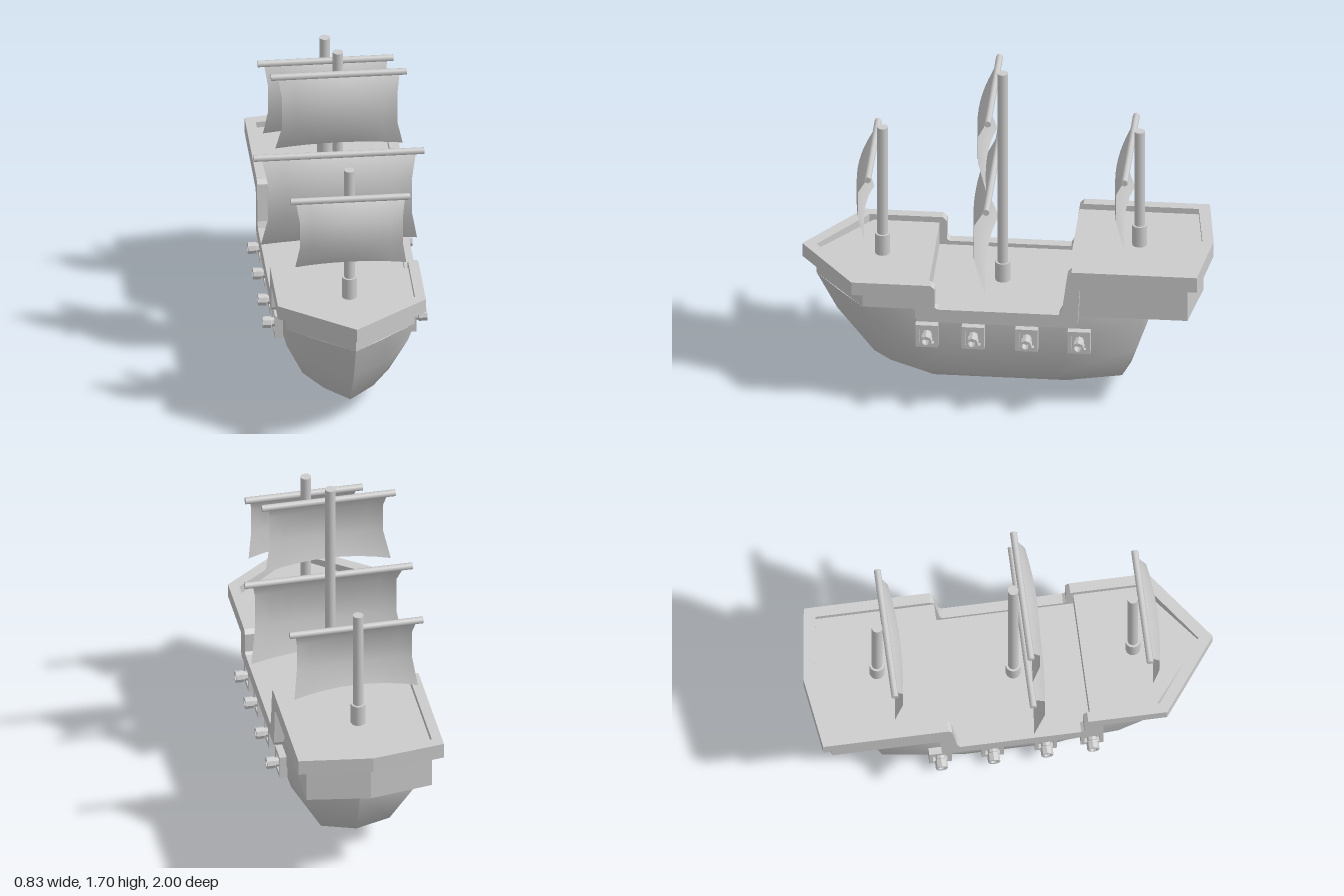
import * as THREE from 'three';

const mat = new THREE.MeshStandardMaterial({ color: 0xcccccc });
const thin = new THREE.MeshStandardMaterial({ color: 0xcccccc, side: THREE.DoubleSide });

function add(parent, name, geometry, x = 0, y = 0, z = 0, material = mat) {
  const mesh = new THREE.Mesh(geometry, material);
  mesh.name = name;
  mesh.position.set(x, y, z);
  parent.add(mesh);
  return mesh;
}

// Skin over rows of [x, y, z] points; side = -1 gives the mirrored half
function loft(rows, side, flat) {
  const n = rows[0].length, index = [];
  const pos = rows.flat().flatMap(([x, y, z]) => [x * side, y, z]);
  for (let i = 0; i < rows.length - 1; i++) {
    for (let j = 0; j < n - 1; j++) {
      const a = i * n + j, b = a + 1, c = a + n, d = c + 1;
      if (side > 0) index.push(a, c, b, b, c, d);
      else index.push(a, b, c, b, d, c);
    }
  }
  let g = new THREE.BufferGeometry();
  g.setAttribute('position', new THREE.Float32BufferAttribute(pos, 3));
  g.setIndex(index);
  if (flat) g = g.toNonIndexed();
  g.computeVertexNormals();
  return g;
}

// Block raised from a symmetric plan; half plan given as [x, z]
function planBlock(half, y0, y1) {
  const mirrored = half.filter(p => p[0] > 0).map(([x, z]) => [-x, z]).reverse();
  const shape = new THREE.Shape([...half, ...mirrored].map(([x, z]) => new THREE.Vector2(x, -z)));
  return new THREE.ExtrudeGeometry(shape, { depth: y1 - y0, bevelEnabled: false })
    .rotateX(-Math.PI / 2).translate(0, y0, 0);
}

// Sail: profile of [y, z, halfWidth] from head to foot, bellied across its width
function sailGeometry(profile) {
  const cols = 8, g = new THREE.PlaneGeometry(2, 1, cols, profile.length - 1);
  const p = g.attributes.position;
  for (let i = 0; i < p.count; i++) {
    const r = Math.floor(i / (cols + 1)), u = p.getX(i);
    const [y, z, w] = profile[r];
    const belly = r === 0 ? 0 : 0.022;
    const foot = r === profile.length - 1 ? 0.03 * (1 - u * u) : 0;
    p.setXYZ(i, u * w, y + foot, z - belly * u * u);
  }
  g.computeVertexNormals();
  return g;
}

export function createModel() {
  const ship = new THREE.Group();
  ship.name = 'sailingShip';

  // Hull: half waterlines from bow to stern, top to keel
  const hullRows = [
    [[0, .54, .93], [.155, .54, .81], [.31, .54, .68], [.31, .54, .3], [.31, .54, -.3], [.31, .54, -.68], [0, .54, -.71]],
    [[0, .35, .83], [.165, .35, .7], [.295, .35, .5], [.31, .35, .25], [.31, .35, -.3], [.27, .35, -.65], [0, .35, -.68]],
    [[0, .12, .65], [.12, .14, .56], [.21, .15, .42], [.25, .16, .2], [.25, .16, -.25], [.17, .14, -.57], [0, .12, -.6]],
    [.36, .3, .2, .1, -.1, -.28, -.31].map(z => [0, 0, z]),
  ];

  // Rail: [outer x, inner x, bottom z, bottom y, top z, top y, inner z shift]
  const rail = [
    [0, 0, 1, .63, 1, .7, -.07],
    [.36, .31, .73, .63, .73, .7, -.03],
    [.36, .31, .42, .63, .345, .7, 0],
    [.36, .31, .42, .61, .325, .68, 0],
    [.36, .31, .42, .52, .325, .58, 0],
    [.36, .31, .405, .5, .31, .57, 0],
    [.36, .31, -.355, .5, -.28, .57, 0],
    [.36, .31, -.37, .52, -.295, .6, 0],
    [.36, .31, -.38, .71, -.32, .79, 0],
    [.36, .31, -.4, .73, -.34, .81, 0],
    [.36, .31, -.95, .73, -.95, .81, .05],
    [0, 0, -1, .73, -1, .81, .055],
  ];
  const railRows = rail.map(([xo, xi, zb, yb, zt, yt, s]) =>
    [[xo, yb, zb], [xo, yt, zt], [xi, yt, zt + s], [xi, yb, zb + s], [xo, yb, zb]]);

  for (const side of [1, -1]) {
    const label = side > 0 ? 'left' : 'right';
    add(ship, label + 'Hull', loft(hullRows, side, false));
    add(ship, label + 'Rail', loft(railRows, side, true));
  }

  // Decks
  add(ship, 'foredeck', planBlock([[0, .93], [.31, .68], [.31, .36]], .54, .67));
  add(ship, 'mainDeck', planBlock([[.31, .36], [.31, -.32]], .53, .55));
  add(ship, 'sternCastle', planBlock([[.31, -.32], [.31, -.9], [0, -.95]], .54, .78));

  // Cannons: gun port frame with a recessed centre and a hollow barrel
  const port = new THREE.Shape([[-.055, -.06], [.055, -.06], [.055, .06], [-.055, .06]].map(p => new THREE.Vector2(...p)));
  port.holes.push(new THREE.Path([[-.036, -.038], [-.036, .038], [.036, .038], [.036, -.038]].map(p => new THREE.Vector2(...p))));
  const portGeo = new THREE.ExtrudeGeometry(port, { depth: .04, bevelEnabled: false }).rotateY(Math.PI / 2);
  const barrelProfile = [[.024, 0], [.024, .05], [.03, .055], [.03, .095], [.018, .095], [.018, .05], [0, .05]];
  const barrelGeo = new THREE.LatheGeometry(barrelProfile.map(p => new THREE.Vector2(...p)), 8)
    .toNonIndexed().rotateZ(-Math.PI / 2);
  barrelGeo.computeVertexNormals();
  for (const side of [1, -1]) {
    for (const z of [.365, .14, -.12, -.375]) {
      const cannon = new THREE.Group();
      cannon.name = 'cannon';
      cannon.position.set(side * .305, .41, z);
      cannon.rotation.y = side > 0 ? 0 : Math.PI;
      add(cannon, 'gunPort', portGeo);
      add(cannon, 'portBack', new THREE.BoxGeometry(.02, .1, .09), .008);
      add(cannon, 'barrel', barrelGeo);
      ship.add(cannon);
    }
  }

  // Masts with collars, yards and sails
  const masts = [
    { name: 'fore', z: .61, deck: .67, collar: .78, top: 1.37, sails: [
      { y: 1.235, z: .657, half: .29, rows: [[1.23, .66, .265], [1.14, .73, .25], [1.01, .73, .25], [.88, .695, .27]] }] },
    { name: 'main', z: .025, deck: .55, collar: .65, top: 1.7, sails: [
      { y: 1.6, z: .07, half: .33, rows: [[1.595, .075, .295], [1.5, .142, .28], [1.35, .142, .28], [1.21, .1, .31]] },
      { y: 1.155, z: .07, half: .415, rows: [[1.15, .075, .375], [1.04, .157, .35], [.85, .157, .35], [.68, .1, .38]] }] },
    { name: 'mizzen', z: -.64, deck: .78, collar: .89, top: 1.41, sails: [
      { y: 1.305, z: -.595, half: .33, rows: [[1.3, -.592, .3], [1.21, -.528, .285], [1.06, -.528, .285], [.92, -.57, .305]] }] },
  ];
  for (const m of masts) {
    const h = m.top - m.deck, c = m.collar - m.deck + .02;
    add(ship, m.name + 'Mast', new THREE.CylinderGeometry(.026, .026, h, 12), 0, m.deck + h / 2, m.z);
    add(ship, m.name + 'MastCollar', new THREE.CylinderGeometry(.037, .037, c, 12), 0, m.collar - c / 2, m.z);
    for (const s of m.sails) {
      const yard = new THREE.CylinderGeometry(.017, .017, s.half * 2, 8).rotateZ(Math.PI / 2);
      add(ship, m.name + 'Yard', yard, 0, s.y, s.z);
      add(ship, m.name + 'Sail', sailGeometry(s.rows), 0, 0, 0, thin);
    }
  }
  return ship;
}
